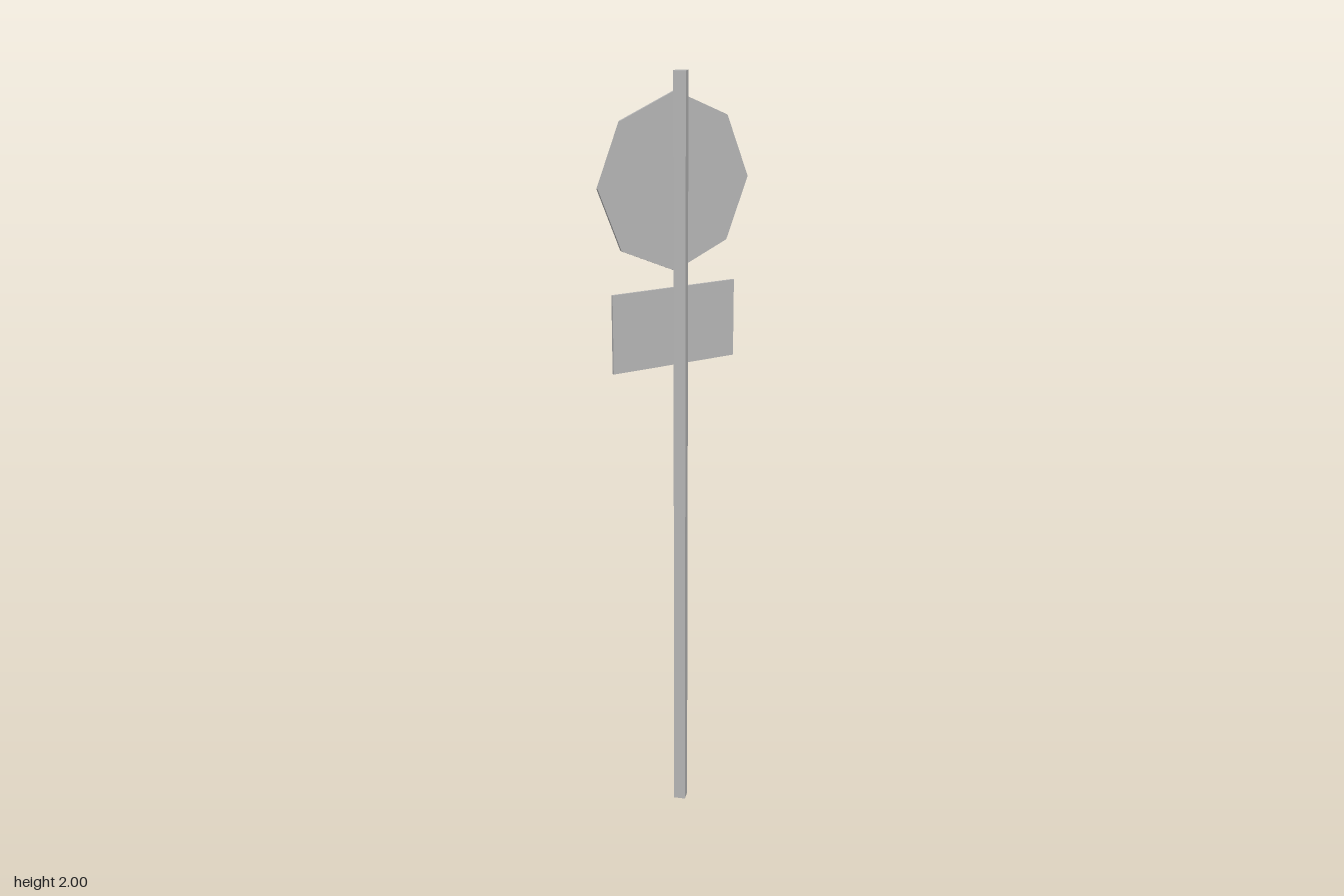
import * as THREE from 'three';

const mat = (name, color) => {
  const m = new THREE.MeshStandardMaterial({ color });
  m.name = name;
  return m;
};

export function createModel() {
  const grey = mat('metalGrey', 0xb6b6b6);
  const red = mat('signRed', 0xb4222a);
  const blue = mat('signBlue', 0x26508e);
  const dark = mat('markDark', 0x222222);

  const model = new THREE.Group();
  model.name = 'roadSign';
  const add = (parent, name, geometry, material, x, y, z) => {
    const mesh = new THREE.Mesh(geometry, material);
    mesh.name = name;
    mesh.position.set(x, y, z);
    parent.add(mesh);
    return mesh;
  };

  // Square post turned corner-forward
  const post = new THREE.CylinderGeometry(0.022, 0.022, 2, 4).toNonIndexed();
  post.computeVertexNormals();
  add(model, 'post', post, grey, 0, 1, 0.004);

  // Octagonal plate: grey rim and reverse, red painted face towards -z
  const plate = new THREE.CylinderGeometry(0.221, 0.221, 0.006, 8).toNonIndexed();
  plate.computeVertexNormals();
  plate.rotateX(-Math.PI / 2);
  add(model, 'octagonPlate', plate, [grey, red, grey], 0, 1.73, -0.025);

  // Painted group whose local +z points out of the sign face
  const face = new THREE.Group();
  face.name = 'paintedFace';
  face.rotation.y = Math.PI;
  face.position.z = -0.0283;
  model.add(face);

  // Two blue disc halves; the red gap between them is the diagonal bar
  const radius = 0.178;
  const half = Math.acos(0.0225 / radius);
  for (const [name, angle] of [['upperBlueField', Math.PI / 4], ['lowerBlueField', Math.PI * 1.25]]) {
    const segment = new THREE.Shape();
    segment.absarc(0, 0, radius, angle - half, angle + half, false);
    segment.closePath();
    add(face, name, new THREE.ShapeGeometry(segment, 32), blue, 0, 1.73, 0.0005);
  }

  // Rectangular plaque below
  add(model, 'plaque', new THREE.BoxGeometry(0.366, 0.202, 0.006), grey, -0.001, 1.366, -0.025);

  // Three rows of tiny plain dashes
  [[1.402, 8], [1.372, 9], [1.342, 5]].forEach(([y, count]) => {
    for (let i = 0; i < count; i++) {
      const x = (i - (count - 1) / 2) * 0.02;
      add(face, 'plaqueDash', new THREE.PlaneGeometry(0.009, 0.005), dark, x, y, 0.0005);
    }
  });

  return model;
}
